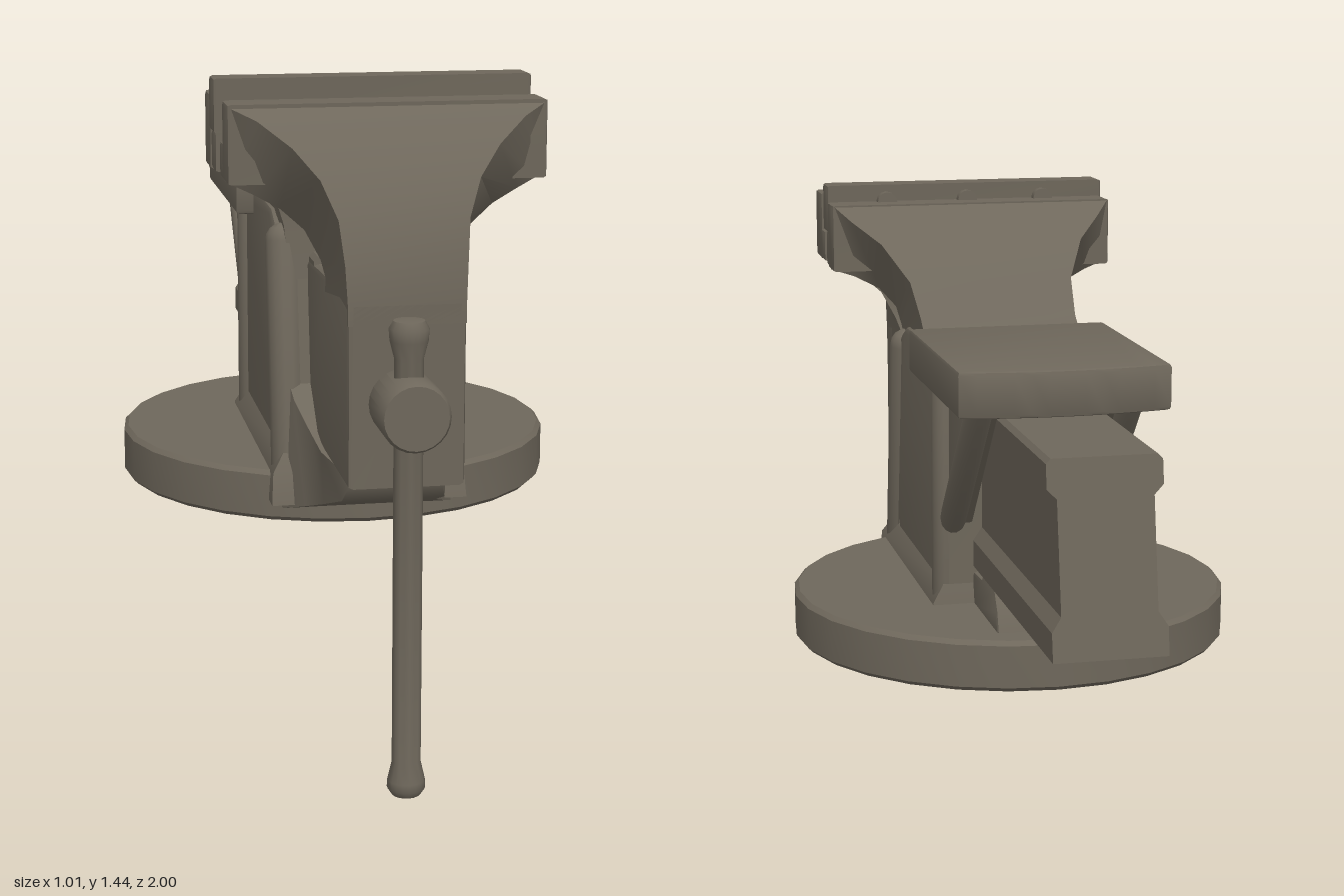
import * as THREE from 'three';
import { toCreasedNormals } from 'three/addons/utils/BufferGeometryUtils.js';

const castIron = new THREE.MeshStandardMaterial({ color: 0x6e675b });
castIron.name = 'castIron';

export function createModel() {
  const model = new THREE.Group();
  model.name = 'benchVise';

  const add = (name, geometry, crease = 0.6) => {
    const mesh = new THREE.Mesh(toCreasedNormals(geometry, crease), castIron);
    mesh.name = name;
    model.add(mesh);
    return mesh;
  };

  const extrude = (shape, depth, bevel) => new THREE.ExtrudeGeometry(shape, {
    depth: depth - 2 * bevel, bevelEnabled: bevel > 0, bevelSize: bevel, bevelThickness: bevel,
    bevelOffset: -bevel, bevelSegments: 2, curveSegments: 12,
  }).translate(0, 0, bevel);

  const polygon = (points) => new THREE.Shape(points.map(([a, b]) => new THREE.Vector2(a, b)));

  // Extrudes a (z, y) outline across x, from x0 to x1
  const sidePlate = (name, points, x0, x1, bevel = 0.01) =>
    add(name, extrude(polygon(points), x1 - x0, bevel).rotateY(-Math.PI / 2).translate(x1, 0, 0));

  // Block from its limits, with softened edges
  const block = (name, [x0, x1], [y0, y1], [z0, z1], bevel = 0.008) =>
    sidePlate(name, [[z0, y0], [z1, y0], [z1, y1], [z0, y1]], x0, x1, bevel);

  // Round bar between two points
  const bar = (name, from, to, radius) => {
    const a = new THREE.Vector3(...from), b = new THREE.Vector3(...to);
    const mesh = add(name, new THREE.CapsuleGeometry(radius, a.distanceTo(b), 4, 14), 1);
    mesh.position.copy(a).add(b).multiplyScalar(0.5);
    mesh.quaternion.setFromUnitVectors(new THREE.Vector3(0, 1, 0), b.sub(a).normalize());
  };

  // Lofts four-cornered sections: [outer z, y, half-width, inner z, y, half-width]
  const loft = (name, sections, flip) => {
    const rings = sections.map(([oz, oy, ow, iz, iy, iw]) => {
      const ring = [[ow, oy, oz], [iw, iy, iz], [-iw, iy, iz], [-ow, oy, oz]];
      return flip ? ring.reverse() : ring;
    });
    const positions = [];
    const quad = (a, b, c, d) => positions.push(...a, ...b, ...c, ...a, ...c, ...d);
    for (let s = 0; s < rings.length - 1; s++) {
      for (let i = 0; i < 4; i++) {
        const j = (i + 1) % 4;
        quad(rings[s][i], rings[s][j], rings[s + 1][j], rings[s + 1][i]);
      }
    }
    quad(...[...rings[0]].reverse());
    quad(...rings[rings.length - 1]);
    const geometry = new THREE.BufferGeometry();
    geometry.setAttribute('position', new THREE.Float32BufferAttribute(positions, 3));
    return add(name, geometry, 0.75);
  };

  // Round base
  const baseProfile = [[0, 0.44], [0.495, 0.44], [0.505, 0.45], [0.505, 0.545], [0.495, 0.555], [0, 0.555]];
  add('base', new THREE.LatheGeometry(baseProfile.map(([r, y]) => new THREE.Vector2(r, y)), 28))
    .position.z = -0.08;

  // Fixed body
  sidePlate('body', [[0.40, 0.5], [0.315, 1.07], [0.2, 1.12], [-0.07, 1.125], [-0.25, 1.08], [-0.25, 0.5]],
    -0.19, 0.19, 0.015);
  loft('bodyFoot', [
    [0.43, 0.49, 0.22, -0.27, 0.49, 0.22],
    [0.415, 0.56, 0.215, -0.26, 0.56, 0.215],
    [0.395, 0.6, 0.19, -0.25, 0.6, 0.19],
  ], false);
  loft('frontTongue', [
    [0.73, 0.615, 0.1, 0.73, 0.64, 0.1],
    [0.7, 0.575, 0.11, 0.7, 0.645, 0.115],
    [0.55, 0.525, 0.125, 0.55, 0.642, 0.13],
    [0.46, 0.495, 0.15, 0.46, 0.665, 0.14],
    [0.4, 0.475, 0.19, 0.4, 0.72, 0.165],
    [0.3, 0.46, 0.2, 0.3, 0.8, 0.18],
  ], true);

  // Support ribs and braces on both sides
  for (const s of [1, -1]) {
    bar('frontRib', [s * 0.172, 0.54, 0.365], [s * 0.172, 1.06, 0.285], 0.04);
    bar('rearRib', [s * 0.18, 0.57, -0.22], [s * 0.18, 1.06, -0.22], 0.03);
    sidePlate('anvilBrace', [[-0.23, 0.72], [-0.23, 1.08], [-0.55, 1.08]],
      s > 0 ? 0.122 : -0.175, s > 0 ? 0.175 : -0.122, 0.005);
    bar('braceRib', [s * 0.165, 0.745, -0.235], [s * 0.165, 1.065, -0.53], 0.03);
  }

  // Anvil with a bowed rear edge
  const anvil = new THREE.Shape();
  anvil.moveTo(-0.23, 0.07).lineTo(0.23, 0.07).lineTo(0.23, 0.62);
  anvil.quadraticCurveTo(0, 0.67, -0.23, 0.62);
  add('anvil', extrude(anvil, 0.1, 0.008).rotateX(-Math.PI / 2).translate(0, 1.06, 0));

  // Slide bar with grooved flanks and a raked tail
  const half = [[0.12, 0.64], [0.12, 0.7], [0.1, 0.73], [0.1, 0.96], [0.12, 0.98], [0.12, 1.03], [0.11, 1.04]];
  const slide = extrude(polygon([...half, ...half.map(([x, y]) => [-x, y]).reverse()]), 1.4, 0);
  slide.translate(0, 0, -1);
  const p = slide.attributes.position;
  for (let i = 0; i < p.count; i++) {
    if (p.getZ(i) < -0.9) p.setZ(i, -1 + (p.getY(i) - 0.64) * 0.175);
  }
  add('slideBar', slide, 0.3);

  // Clamp block under the slide
  sidePlate('baseClamp', [[-0.24, 0.54], [-0.24, 0.625], [-0.33, 0.63], [-0.34, 0.64], [-0.46, 0.64],
    [-0.49, 0.6], [-0.51, 0.54]], -0.12, 0.12, 0.008);

  // Fixed jaw
  loft('fixedJawArm', [
    [-0.1, 1.11, 0.19, 0.33, 0.98, 0.17],
    [-0.03, 1.125, 0.185, 0.325, 1.05, 0.17],
    [0.02, 1.165, 0.185, 0.322, 1.1, 0.175],
    [0.1, 1.24, 0.195, 0.32, 1.15, 0.19],
    [0.2, 1.318, 0.245, 0.325, 1.195, 0.23],
    [0.27, 1.365, 0.305, 0.335, 1.225, 0.29],
    [0.315, 1.4, 0.343, 0.36, 1.24, 0.343],
  ], true);
  block('fixedJawHead', [-0.345, 0.345], [1.24, 1.4], [0.31, 0.39]);
  block('fixedJawLedge', [-0.34, 0.34], [1.24, 1.325], [0.37, 0.447]);
  block('fixedJawPlate', [-0.345, 0.345], [1.325, 1.44], [0.388, 0.46]);
  for (const x of [-0.19, 0, 0.2]) {
    const bolt = add('jawBolt', new THREE.CylinderGeometry(0.024, 0.024, 0.03, 12).rotateX(Math.PI / 2));
    bolt.position.set(x, 1.4, 0.38);
  }

  // Moving jaw
  sidePlate('movingJawBody', [[0.3, 0.64], [0.84, 0.64], [0.84, 1.02], [0.6, 1.06], [0.56, 1.03], [0.3, 1.022]],
    -0.123, 0.123, 0.012);
  loft('movingJawArm', [
    [0.84, 0.98, 0.122, 0.55, 0.98, 0.122],
    [0.84, 1.02, 0.122, 0.585, 1.03, 0.125],
    [0.832, 1.1, 0.126, 0.61, 1.075, 0.14],
    [0.805, 1.19, 0.135, 0.615, 1.14, 0.175],
    [0.765, 1.265, 0.165, 0.612, 1.185, 0.225],
    [0.72, 1.325, 0.215, 0.605, 1.215, 0.28],
    [0.67, 1.375, 0.28, 0.59, 1.235, 0.325],
    [0.63, 1.4, 0.335, 0.57, 1.24, 0.335],
  ], false);
  block('movingJawHead', [-0.337, 0.337], [1.24, 1.405], [0.55, 0.635]);
  block('movingJawLedge', [-0.337, 0.337], [1.24, 1.315], [0.505, 0.57]);

  // Screw head and sliding handle
  const headProfile = [[0, 0.83], [0.062, 0.83], [0.062, 0.85], [0.072, 0.865], [0.072, 0.99], [0.066, 1], [0, 1]];
  add('screwHead', new THREE.LatheGeometry(headProfile.map(([r, z]) => new THREE.Vector2(r, z)), 24)
    .rotateX(Math.PI / 2)).position.set(-0.012, 0.825, 0);
  const handleProfile = [[0, 0], [0.03, 0.003], [0.04, 0.018], [0.039, 0.035], [0.03, 0.075], [0.03, 0.93],
    [0.039, 0.965], [0.041, 0.99], [0.032, 1.006], [0, 1.01]];
  add('handle', new THREE.LatheGeometry(handleProfile.map(([r, y]) => new THREE.Vector2(r, y)), 18), 0.8)
    .position.set(-0.012, 0, 0.915);

  return model;
}
